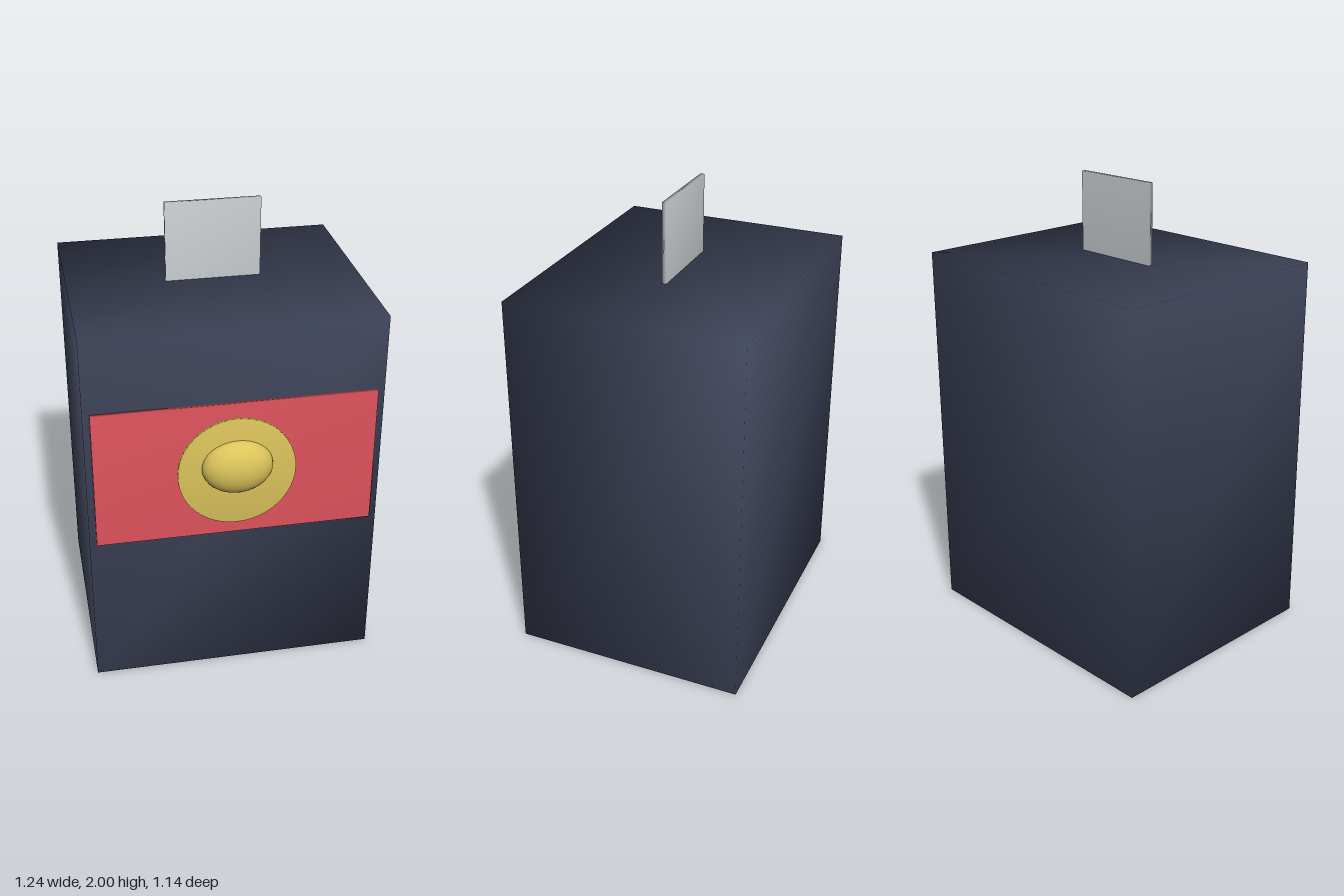
import * as THREE from 'three';
import { mergeVertices } from 'three/addons/utils/BufferGeometryUtils.js';

// Share corners so the shading runs smoothly around every edge
function soften(geometry) {
  geometry.deleteAttribute('uv');
  geometry.deleteAttribute('normal');
  const merged = mergeVertices(geometry, 1e-4);
  merged.computeVertexNormals();
  return merged;
}

export function createModel() {
  const model = new THREE.Group();
  model.name = 'box';

  const paint = (name, color) => {
    const material = new THREE.MeshStandardMaterial({ color });
    material.name = name;
    return material;
  };
  const navy = paint('navy', 0x3e445a);
  const red = paint('red', 0xe0535d);
  const gold = paint('gold', 0xdcc45c);
  const silver = paint('silver', 0xcdd2d6);

  const add = (name, geometry, material) => {
    const mesh = new THREE.Mesh(geometry, material);
    mesh.name = name;
    model.add(mesh);
    return mesh;
  };

  // Box given by its lower and upper bounds
  const block = (name, material, [x0, y0, z0], [x1, y1, z1]) => {
    const geometry = soften(new THREE.BoxGeometry(x1 - x0, y1 - y0, z1 - z0));
    add(name, geometry, material).position.set((x0 + x1) / 2, (y0 + y1) / 2, (z0 + z1) / 2);
  };

  block('body', navy, [-0.622, 0, -0.572], [0.622, 1.656, 0.455]);
  block('frontPanel', red, [-0.592, 0.71, 0.455], [0.59, 1.33, 0.473]);
  block('topTab', silver, [-0.203, 1.656, -0.069], [0.203, 2, -0.051]);

  // Round plate on the panel
  const disc = soften(new THREE.CylinderGeometry(0.248, 0.248, 0.022, 48));
  disc.rotateX(Math.PI / 2);
  add('disc', disc, gold).position.set(0, 1.02, 0.483);

  // Flattened knob sunk into the plate
  const knob = new THREE.SphereGeometry(1, 24, 16);
  knob.scale(0.15, 0.121, 0.08);
  add('knob', knob, gold).position.set(0, 1.05, 0.492);

  return model;
}
